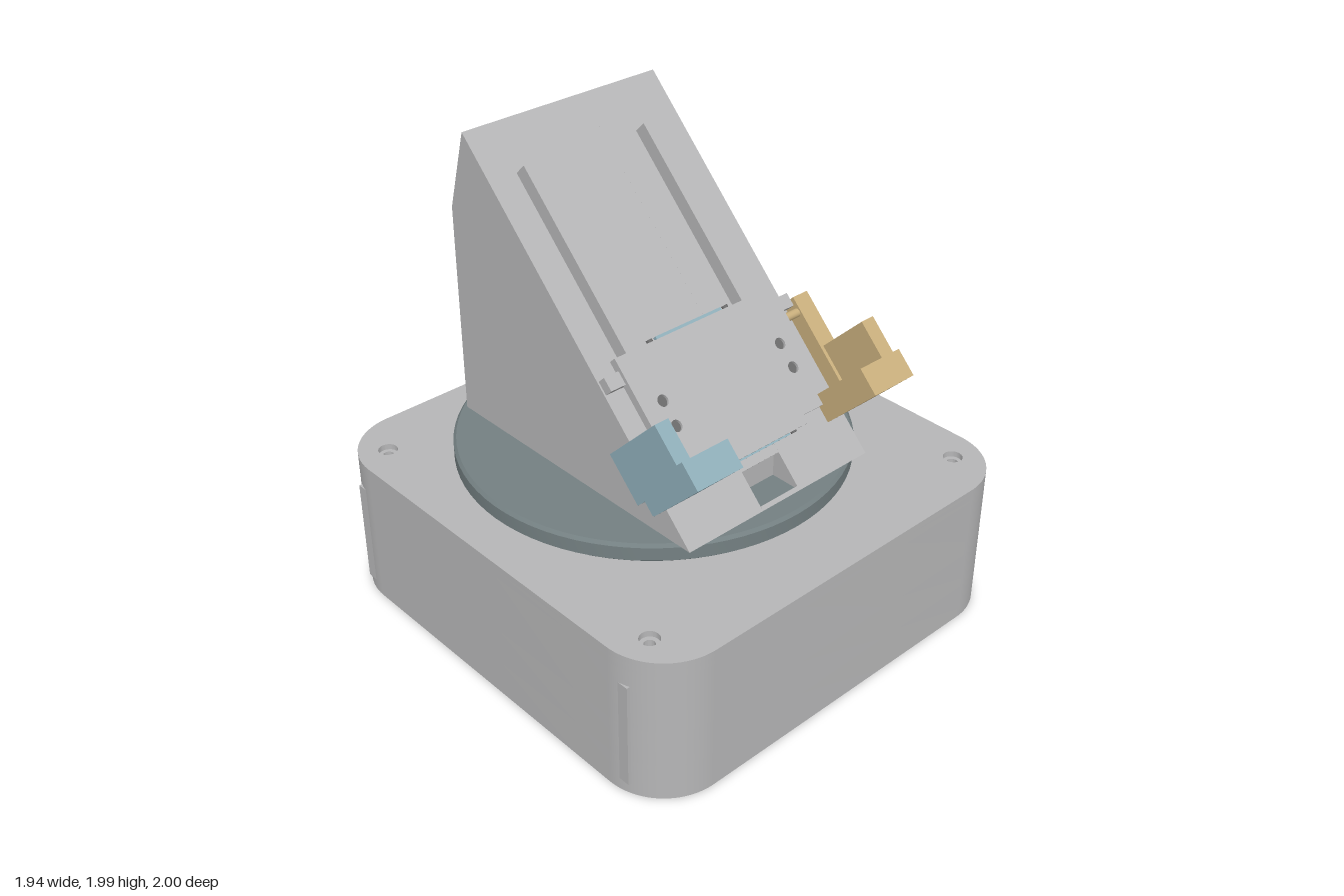
import * as THREE from 'three';
import { toCreasedNormals } from 'three/addons/utils/BufferGeometryUtils.js';

const mat = (name, color) => {
  const m = new THREE.MeshStandardMaterial({ color });
  m.name = name;
  return m;
};

export function createModel() {
  const model = new THREE.Group();
  const grey = mat('light grey', 0xb6b6b7);
  const slate = mat('slate', 0x748082);
  const tan = mat('tan', 0xc8ae7c);
  const blue = mat('pale blue', 0x8faeb9);
  const dark = mat('dark grey', 0x6a6a6a);

  const add = (parent, name, geo, material) => {
    const mesh = new THREE.Mesh(geo, material);
    mesh.name = name;
    parent.add(mesh);
    return mesh;
  };
  const boxGeo = (x0, x1, y0, y1, z0, z1) =>
    new THREE.BoxGeometry(x1 - x0, y1 - y0, z1 - z0)
      .translate((x0 + x1) / 2, (y0 + y1) / 2, (z0 + z1) / 2);
  const polygon = pts => new THREE.Shape(pts.map(p => new THREE.Vector2(...p)));
  const circlePath = (x, y, r) => {
    const p = new THREE.Path();
    p.absarc(x, y, r, 0, Math.PI * 2, true);
    return p;
  };

  // Base: rounded slab in layers, with a rear port and countersunk screw holes
  const W = 0.97, D = 1, R = 0.27;
  function baseLayer(y0, y1, { port = false, hole = 0 } = {}) {
    const s = new THREE.Shape();
    s.moveTo(-W + R, -D);
    s.absarc(W - R, -D + R, R, -Math.PI / 2, 0);
    s.absarc(W - R, D - R, R, 0, Math.PI / 2);
    if (port) {
      s.lineTo(0.54, D);
      s.lineTo(0.54, D - 0.08);
      s.lineTo(0.25, D - 0.08);
      s.lineTo(0.25, D);
    }
    s.absarc(-W + R, D - R, R, Math.PI / 2, Math.PI);
    s.absarc(-W + R, -D + R, R, Math.PI, Math.PI * 1.5);
    if (hole) for (const x of [-0.83, 0.83]) for (const y of [-0.8, 0.8])
      s.holes.push(circlePath(x, y, hole));
    const g = new THREE.ExtrudeGeometry(s, { depth: y1 - y0, bevelEnabled: false, curveSegments: 20 });
    g.rotateX(-Math.PI / 2).translate(0, y0, 0);
    return toCreasedNormals(g, 0.6);
  }
  const base = new THREE.Group();
  base.name = 'base';
  model.add(base);
  add(base, 'baseBottom', baseLayer(0, 0.16), grey);
  add(base, 'basePortLayer', baseLayer(0.16, 0.32, { port: true }), grey);
  add(base, 'baseMiddle', baseLayer(0.32, 0.58), grey);
  add(base, 'baseScrewLayer', baseLayer(0.58, 0.615, { hole: 0.022 }), grey);
  add(base, 'baseTop', baseLayer(0.615, 0.64, { hole: 0.04 }), grey);
  // Flat strips that stand proud of the rounded corners
  add(base, 'cornerStrips', boxGeo(-0.965, 0.965, 0.05, 0.51, -0.83, 0.83), grey);

  // Turntable with softened rim, on a short neck
  const disc = new THREE.LatheGeometry(
    [[0, 0.655], [0.803, 0.655], [0.815, 0.665], [0.815, 0.722], [0.803, 0.735], [0, 0.735]]
      .map(p => new THREE.Vector2(...p)), 80);
  add(model, 'turntable', toCreasedNormals(disc, 0.5), slate).position.z = -0.095;
  add(model, 'neck', new THREE.CylinderGeometry(0.17, 0.17, 0.03, 48), slate)
    .position.set(0, 0.645, -0.09);

  // Wedge: side profile (z, y) extruded across x; the middle slice has a pocket
  const outline = [[-0.62, 1.99], [-0.72, 1.65], [-0.72, 0.735]];
  const pocket = [[0.605, 0.738], [0.617, 0.749], [0.617, 0.749]];
  const wedgeSlice = (pts, x0, x1) =>
    new THREE.ExtrudeGeometry(polygon(pts), { depth: x1 - x0, bevelEnabled: false })
      .rotateY(-Math.PI / 2).translate(x1, 0, 0);
  const full = [[0.63, 0.735], ...outline];
  add(model, 'wedgeLeft', wedgeSlice(full, 0.1, 0.48), grey);
  add(model, 'wedgeRight', wedgeSlice(full, -0.48, -0.1), grey);
  add(model, 'wedgeMiddle', wedgeSlice(
    [[0.512, 0.853], ...outline, [0.487, 0.735], [0.487, 0.828]], -0.1, 0.1), grey);
  add(model, 'pocketLip', wedgeSlice(
    [[0.63, 0.735], pocket[1], [0.603, 0.735]], -0.1, 0.1), grey);

  // Slope frame: local y runs up the slope, local z stands out from it
  const slope = new THREE.Group();
  slope.name = 'slopeAssembly';
  slope.position.set(0, 0.735, 0.63);
  slope.rotation.x = -Math.PI / 4;
  model.add(slope);

  // Sliding plate with four screw holes
  const plate = polygon([[-0.24, 0.212], [0.24, 0.212], [0.24, 0.247], [0.41, 0.247],
    [0.41, 0.753], [-0.41, 0.753], [-0.41, 0.247], [-0.24, 0.247]]);
  for (const x of [-0.31, 0.31]) for (const y of [0.43, 0.536]) {
    plate.holes.push(circlePath(x, y, 0.024));
    const screw = add(slope, 'plateScrew', new THREE.CylinderGeometry(0.024, 0.024, 0.02, 16), dark);
    screw.rotation.x = Math.PI / 2;
    screw.position.set(x, y, 0.05);
  }
  add(slope, 'plate', new THREE.ExtrudeGeometry(plate, { depth: 0.037, bevelEnabled: false })
    .translate(0, 0, 0.035), grey);
  add(slope, 'innerPanel', boxGeo(-0.17, 0.17, 0.205, 0.77, 0.012, 0.03), blue);

  // Rails, guide rods and side blocks, mirrored
  for (const s of [-1, 1]) {
    const side = (name, x0, x1, ...r) =>
      add(slope, name, boxGeo(Math.min(s * x0, s * x1), Math.max(s * x0, s * x1), ...r), grey);
    side('rail', 0.25, 0.35, 0.74, 1.554, 0, 0.067);
    side('upperBlock', 0.38, 0.48, 0.65, 0.707, 0.012, 0.055);
    side('lowerBlock', 0.38, 0.48, 0.205, 0.255, 0.012, 0.05);
    add(slope, 'guideRod', new THREE.CylinderGeometry(0.013, 0.013, 0.565, 12), dark)
      .position.set(s * 0.198, 0.487, 0.02);
  }

  // Clamps: jaw block, outer post and foot
  function clamp(name, s, material, footEnd, pinAt) {
    const g = new THREE.Group();
    g.name = name;
    slope.add(g);
    const part = (n, x0, x1, ...r) =>
      add(g, n, boxGeo(Math.min(s * x0, s * x1), Math.max(s * x0, s * x1), ...r), material);
    part('jaw', 0.35, 0.57, 0.177, 0.293, 0.045, 0.366);
    part('post', 0.505, 0.57, 0.18, 0.4525, 0.04, 0.329);
    part('foot', 0.49, 0.57, 0.24, footEnd, -0.015, 0.064);
    for (const u of pinAt) {
      const pin = add(g, 'pin', new THREE.CylinderGeometry(0.018, 0.018, 0.1, 16), material);
      pin.rotation.z = Math.PI / 2;
      pin.position.set(s * 0.455, u, 0.04);
    }
  }
  clamp('leftClamp', 1, tan, 0.68, [0.62]);
  clamp('rightClamp', -1, blue, 0.4525, [0.34, 0.394]);
  return model;
}
